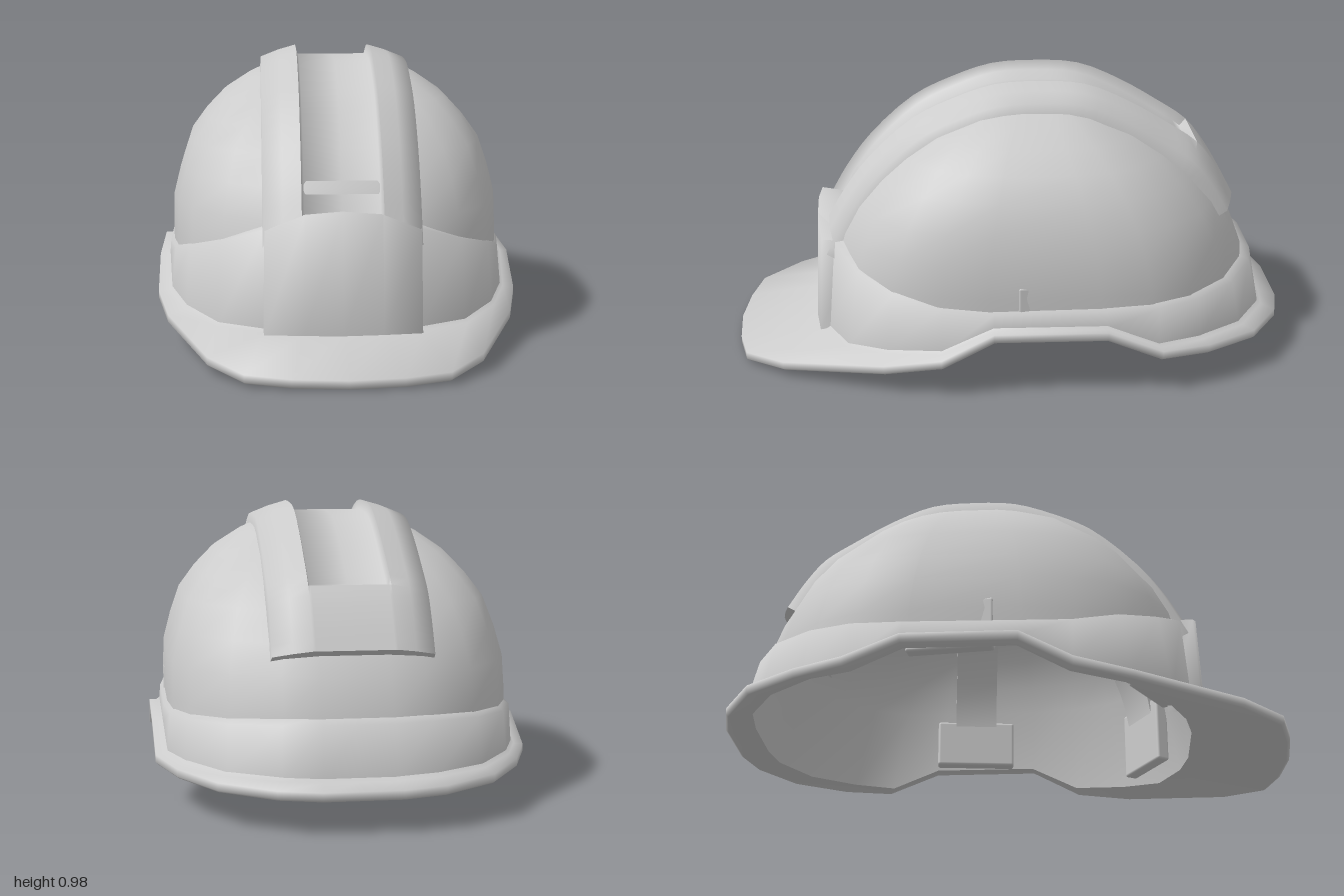
import * as THREE from 'three';
import { toCreasedNormals } from 'three/addons/utils/BufferGeometryUtils.js';
import { RoundedBoxGeometry } from 'three/addons/geometries/RoundedBoxGeometry.js';

// Surface through rows of [x, y, z] points; closed joins the last column to the first
function loft(rows, closed = false, crease = 0.6) {
  const n = rows[0].length, pos = [], index = [];
  rows.forEach(r => r.forEach(p => pos.push(...p)));
  for (let i = 0; i < rows.length - 1; i++) {
    for (let j = 0; j < (closed ? n : n - 1); j++) {
      const k = (j + 1) % n, a = i * n + j, b = i * n + k;
      index.push(a, b, b + n, a, b + n, a + n);
    }
  }
  const g = new THREE.BufferGeometry();
  g.setAttribute('position', new THREE.Float32BufferAttribute(pos, 3));
  g.setIndex(index);
  return toCreasedNormals(g, crease);
}

// Full ring from a half outline running front to back on the +x side
const ring = half => [...half, ...half.slice(1, -1).reverse().map(([x, y, z]) => [-x, y, z])];
// Ring shrunk about the middle of the shell and moved in y
const inset = (half, s, dy = 0) => half.map(([x, y, z]) => [x * s, y + dy, (z + 0.11) * s - 0.11]);

// Half outlines, front to back
const brimEdge = [[0, .033, 1], [.18, .035, .985], [.33, .042, .95], [.45, .06, .81], [.595, .108, .45],
  [.638, .145, .25], [.64, .24, .07], [.64, .24, -.32], [.635, .163, -.51], [.57, .153, -.68],
  [.45, .148, -.86], [.27, .143, -.97], [.13, .14, -1], [0, .14, -1]];
const bandBottom = [[0, .1, .68], [.13, .1, .68], [.26, .1, .655], [.42, .105, .58], [.53, .13, .44],
  [.59, .15, .25], [.605, .24, .07], [.605, .24, -.32], [.595, .165, -.5], [.54, .165, -.65],
  [.42, .16, -.81], [.25, .16, -.91], [.12, .155, -.925], [0, .155, -.925]];
const bandTop = [[0, .45, .65], [.13, .45, .65], [.26, .44, .625], [.41, .385, .54], [.52, .345, .41],
  [.575, .305, .25], [.6, .295, .07], [.6, .3, -.32], [.585, .305, -.5], [.53, .31, -.64],
  [.41, .32, -.78], [.24, .33, -.87], [.12, .33, -.895], [0, .33, -.895]];

// Dome levels: height, half width, front z, back z
const levels = [[.25, .585, .66, -.87], [.35, .588, .65, -.86], [.47, .585, .615, -.815], [.57, .56, .565, -.76],
  [.67, .527, .485, -.675], [.75, .47, .405, -.585], [.82, .405, .31, -.485], [.883, .313, .19, -.37],
  [.92, .24, .09, -.28], [.937, .12, -.02, -.18], [.94, 0, -.105, -.105]];

function domeRings(s, dy) {
  return levels.map(([y, w, zf, zb]) => ring(bandTop.map(([x, , z]) => [
    x / 0.6 * w * s, y + dy,
    (zf + zb) / 2 + (z + 0.1225) / 0.7725 * (zf - zb) / 2 * s])));
}

export function createModel() {
  const model = new THREE.Group();
  const grey = new THREE.MeshStandardMaterial({ color: 0xcccccc });
  const thin = new THREE.MeshStandardMaterial({ color: 0xcccccc, side: THREE.DoubleSide });
  const add = (name, geometry, material = grey, parent = model) => {
    const mesh = new THREE.Mesh(geometry, material);
    mesh.name = name;
    parent.add(mesh);
    return mesh;
  };

  // Shell: dome, raised band with a sloped upper lip, brim with peak, inner lining
  add('dome', loft(domeRings(1, 0), true, 0.9));
  add('band', loft([bandBottom, bandTop, inset(bandTop, 0.945, 0.018)].map(ring), true, 1.5));
  add('brim', loft([
    inset(bandBottom, 0.965, -0.03), inset(brimEdge, 0.99, -0.032), inset(brimEdge, 1, -0.025), brimEdge,
    inset(bandBottom, 1.015), inset(bandBottom, 0.99, 0.015)].map(ring), true, 1.7));
  add('lining', loft([
    ...domeRings(0.965, -0.03).reverse().slice(0, -2), ring(inset(bandBottom, 0.965, -0.03))], true, 0.9));

  // Crown ridge: two raised strips beside a groove that ends short of the back
  const path = new THREE.CatmullRomCurve3([[.69, .41], [.645, .495], [.59, .59], [.5, .71], [.34, .855],
    [.2, .925], [.05, .975], [-.11, .985], [-.27, .973], [-.42, .912], [-.57, .825], [-.68, .75], [-.755, .655],
    [-.815, .555]].map(([z, y]) => new THREE.Vector3(0, y, z)));
  const section = (t, depth, drop = 0) => {
    const p = path.getPoint(t), d = path.getTangent(t);
    const half = [[.272, -.12], [.266, -.044], [.2, -.018], [.137, 0], [.128, -depth]];
    return [...half.map(([x, h]) => [-x, h]), [0, -depth], ...half.reverse()]
      .map(([x, h]) => {
        const k = Math.min(h, -drop);
        return [x, p.y - d.z * k, p.z + d.y * k];
      });
  };
  const steps = 39, grooveEnd = 33, ridgeRows = [];
  for (let i = 0; i <= steps; i++) {
    if (i <= grooveEnd) ridgeRows.push(section(i / steps, 0.034));
    if (i >= grooveEnd) ridgeRows.push(section(i / steps, 0));
  }
  ridgeRows.push(section(1, 0, 0.13));
  add('crownRidge', loft(ridgeRows, false, 1.5));

  // Front panel standing proud of the band
  const columns = [[-.265, .44, .56], [-.26, .445, .68], [-.13, .5, .7], [0, .51, .705],
    [.13, .5, .7], [.26, .445, .68], [.265, .44, .56]];
  add('frontPanel', loft([
    columns.map(([x, , z]) => [x * 1.02, 0.09, z + 0.006]),
    columns.map(([x, y, z]) => [x, y, z - 0.012]),
    columns.map(([x, y]) => [x, y - 0.02, 0.57])], false, 1.7));

  // Inner harness: four straps from the crown down to clips on the wall
  const harness = new THREE.Group();
  harness.name = 'harness';
  model.add(harness);
  for (const side of [1, -1]) {
    for (const [name, x, z, y, w, h] of [['front', .355, .51, .24, .24, .25], ['side', .55, -.16, .3, .3, .18]]) {
      const u = new THREE.Vector3(x * side, 0, z + 0.1), r = u.length();
      u.normalize();
      const rows = [];
      for (let i = 0; i <= 14; i++) {
        const a = i / 14 * Math.PI / 2, c = Math.cos(a), s = Math.sin(a);
        rows.push([[-.08, 0], [.08, 0], [.08, .02], [-.08, .02]].map(([b, t]) => [
          u.x * (r * c - t * c) + u.z * b,
          y + (0.87 - y) * s - t * s,
          -0.1 + u.z * (r * c - t * c) - u.x * b]));
      }
      add(name + 'Strap', loft(rows, true), thin, harness);
      const clip = add(name + 'Clip', new RoundedBoxGeometry(w, h, 0.05, 2, 0.01), grey, harness);
      clip.position.set(x * side, y, z);
      clip.rotation.y = Math.atan2(u.x, u.z);
    }
  }
  return model;
}
